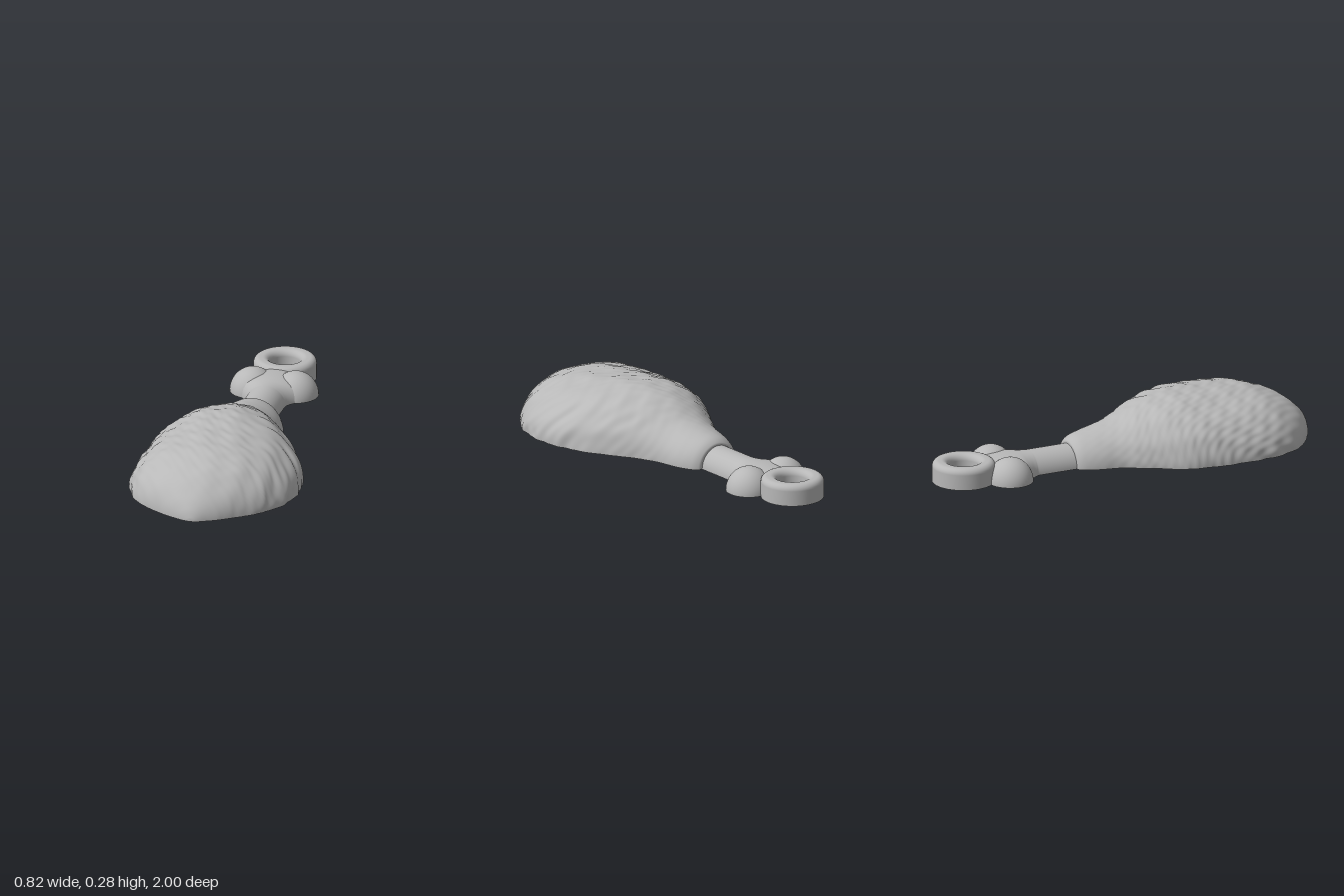
import * as THREE from 'three';

const boneX = -0.033;

// Lofts half-elliptical sections [z, left x, right x, height] (z ascending), with a flat underside
function halfLoft(sections, rows, cols, lump = () => 0) {
  const side = (k) => new THREE.CatmullRomCurve3(
    sections.map((s) => new THREE.Vector3(s[k], s[3], s[0])), false, 'catmullrom', 0.5);
  const left = side(1), right = side(2);
  const pos = [], index = [], stride = cols + 3;
  for (let i = 0; i <= rows; i++) {
    const l = left.getPoint(i / rows), r = right.getPoint(i / rows);
    const cx = (l.x + r.x) / 2, w = Math.max((r.x - l.x) / 2, 0), h = Math.max(r.y, 0);
    for (let j = 0; j <= cols; j++) {
      const a = Math.PI * j / cols;
      const x = w * Math.cos(a), y = j === cols ? 0 : h * Math.sin(a);
      const k = 1 + lump(x, y, r.z);
      pos.push(cx + x * k, y * k, r.z);
    }
    // separate underside corners keep the rim sharp
    pos.push(cx + w, 0, r.z, cx - w, 0, r.z);
    if (i === rows) break;
    const a = i * stride, b = a + stride;
    for (let j = 0; j < cols; j++) {
      index.push(a + j, a + j + 1, b + j, a + j + 1, b + j + 1, b + j);
    }
    const c = cols + 1, d = cols + 2;
    index.push(a + c, b + c, a + d, a + d, b + c, b + d);
  }
  const g = new THREE.BufferGeometry();
  g.setAttribute('position', new THREE.Float32BufferAttribute(pos, 3));
  g.setIndex(index);
  g.computeVertexNormals();
  return g;
}

// Gentle, irregular lumps for the meat
function lumps(x, y, z) {
  const u = x + 0.03 * Math.sin(9 * z + 14 * y), v = z + 0.03 * Math.sin(11 * x - 8 * y);
  const n = Math.sin(23 * u + 17 * v) * Math.sin(29 * v - 13 * u + 18 * y)
    + 0.6 * Math.sin(47 * u - 31 * v + 20 * y) * Math.sin(53 * v + 25 * y)
    + 0.35 * Math.sin(83 * u + 61 * y) * Math.sin(91 * v - 37 * u);
  const fade = THREE.MathUtils.smoothstep(z, -0.25, 0.1);
  return n * 0.014 * (0.2 + 0.8 * fade);
}

export function createModel() {
  const group = new THREE.Group();
  const grey = new THREE.MeshStandardMaterial({ color: 0xb8b8b8 });
  grey.name = 'plain grey';
  const add = (name, geometry, x = 0, y = 0, z = 0, parent = group) => {
    const mesh = new THREE.Mesh(geometry, grey);
    mesh.name = name;
    mesh.position.set(x, y, z);
    parent.add(mesh);
    return mesh;
  };

  // Meat: plump drop, narrowing to a rounded collar around the bone
  add('meat', halfLoft([
    [-0.285, -0.131, 0.065, 0.095],
    [-0.28, -0.145, 0.085, 0.112],
    [-0.25, -0.167, 0.112, 0.132],
    [-0.185, -0.19, 0.14, 0.148],
    [-0.08, -0.214, 0.163, 0.172],
    [0, -0.26, 0.195, 0.202],
    [0.08, -0.305, 0.24, 0.237],
    [0.195, -0.37, 0.31, 0.265],
    [0.3, -0.394, 0.362, 0.274],
    [0.4, -0.405, 0.397, 0.27],
    [0.53, -0.41, 0.407, 0.263],
    [0.66, -0.40, 0.385, 0.25],
    [0.77, -0.357, 0.33, 0.218],
    [0.87, -0.27, 0.23, 0.167],
    [0.94, -0.165, 0.13, 0.11],
    [0.98, -0.08, 0.06, 0.06],
    [0.997, -0.03, 0.02, 0.022],
    [1, -0.005, -0.005, 0],
  ], 170, 110, lumps));

  // Bone shaft, flaring between the knobs and on into the ring
  const shaft = [
    [-0.755, 0.115, 0.088], [-0.72, 0.135, 0.094], [-0.66, 0.19, 0.1],
    [-0.61, 0.192, 0.102], [-0.57, 0.168, 0.101], [-0.535, 0.128, 0.099],
    [-0.5, 0.103, 0.098], [-0.46, 0.098, 0.098], [-0.27, 0.098, 0.098],
  ];
  add('boneShaft', halfLoft(shaft.map(([z, w, h]) => [z, boneX - w, boneX + w, h]), 64, 32));

  // Two half-round knobs at the end of the bone
  for (const s of [-1, 1]) {
    const knob = new THREE.Group();
    knob.name = s > 0 ? 'leftKnob' : 'rightKnob';
    knob.position.set(boneX + s * 0.107, 0, -0.648);
    add('knobDome', new THREE.SphereGeometry(0.112, 40, 16, 0, Math.PI * 2, 0, Math.PI / 2), 0, 0, 0, knob)
      .scale.y = 1.04;
    add('knobBase', new THREE.CircleGeometry(0.112, 40).rotateX(Math.PI / 2), 0, 0, 0, knob);
    group.add(knob);
  }

  // Hanging ring: flat underside, straight walls, rounded upper edges
  const wall = [[0.153, 0], [0.153, 0.075]];
  for (let i = 1; i <= 6; i++) {
    const a = Math.PI / 2 * i / 6;
    wall.push([0.123 + 0.03 * Math.cos(a), 0.075 + 0.03 * Math.sin(a)]);
  }
  for (let i = 0; i <= 6; i++) {
    const a = Math.PI / 2 * (1 + i / 6);
    wall.push([0.107 + 0.032 * Math.cos(a), 0.073 + 0.032 * Math.sin(a)]);
  }
  wall.push([0.075, 0]);
  const ring = new THREE.Group();
  ring.name = 'hangingRing';
  ring.position.set(boneX, 0, -0.847);
  add('ringBody', new THREE.LatheGeometry(wall.map(([r, y]) => new THREE.Vector2(r, y)), 64), 0, 0, 0, ring);
  add('ringBase', new THREE.RingGeometry(0.075, 0.153, 64).rotateX(Math.PI / 2), 0, 0, 0, ring);
  group.add(ring);

  return group;
}
